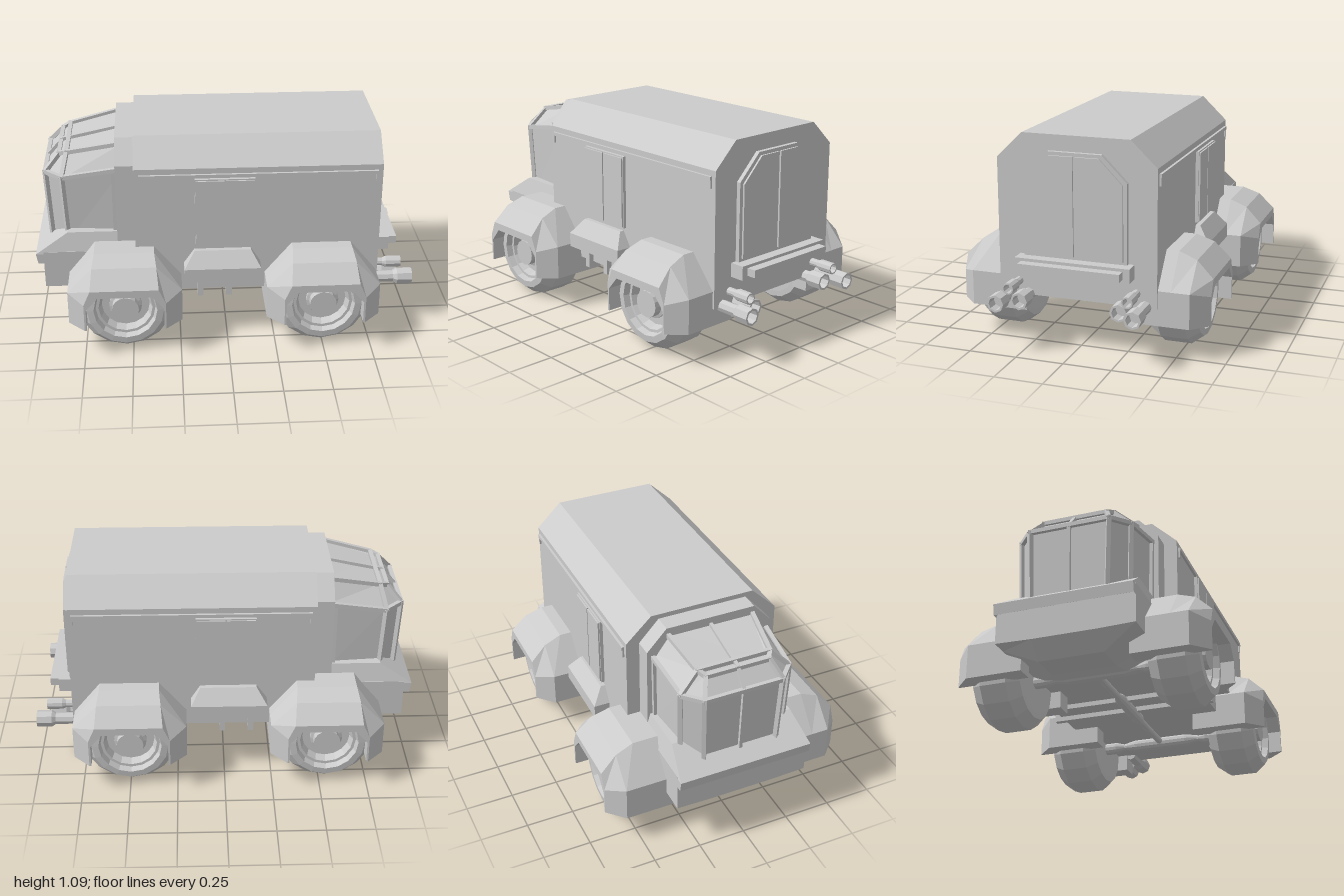
import * as THREE from 'three';

const mat = new THREE.MeshStandardMaterial({ color: 0xcccccc, flatShading: true });

// Solid through a list of equal-sized loops of [x,y,z], capped at both ends
function loft(loops) {
  const tris = [], n = loops[0].length;
  for (let i = 0; i < loops.length - 1; i++) {
    for (let j = 0; j < n; j++) {
      const k = (j + 1) % n;
      const a = loops[i][j], b = loops[i][k], c = loops[i + 1][k], d = loops[i + 1][j];
      tris.push([a, b, c], [a, c, d]);
    }
  }
  const end = loops[loops.length - 1];
  for (let j = 1; j < n - 1; j++) {
    tris.push([loops[0][0], loops[0][j + 1], loops[0][j]], [end[0], end[j], end[j + 1]]);
  }
  // Signed volume decides the winding, so faces always point outward
  const v = (p) => new THREE.Vector3(...p);
  const volume = tris.reduce((s, [a, b, c]) => s + v(a).dot(v(b).cross(v(c))), 0);
  if (volume < 0) tris.forEach((t) => t.reverse());
  const g = new THREE.BufferGeometry();
  g.setAttribute('position', new THREE.Float32BufferAttribute(tris.flat(2), 3));
  g.computeVertexNormals();
  return g;
}

// Half outline of [z,y] mirrored to a closed loop at a given x
const mirrorLoop = (half, x) => [
  ...half.map(([z, y]) => [x, y, z]),
  ...half.slice().reverse().map(([z, y]) => [x, y, -z]),
];
const prismX = (half, x0, x1) => loft([mirrorLoop(half, x0), mirrorLoop(half, x1)]);

export function createModel() {
  const root = new THREE.Group();
  const add = (name, geo, x = 0, y = 0, z = 0, parent = root) => {
    const m = new THREE.Mesh(geo, mat);
    m.name = name;
    m.position.set(x, y, z);
    parent.add(m);
    return m;
  };
  // Box given by its extents
  const box = (name, x0, x1, y0, y1, z0, z1) =>
    add(name, new THREE.BoxGeometry(x1 - x0, y1 - y0, z1 - z0), (x0 + x1) / 2, (y0 + y1) / 2, (z0 + z1) / 2);
  // Square bar between two points
  const beam = (name, a, b, t) => {
    const p = new THREE.Vector3(...a), q = new THREE.Vector3(...b);
    const m = add(name, new THREE.BoxGeometry(t, t, p.distanceTo(q) + t * 0.6));
    m.position.copy(p).add(q).multiplyScalar(0.5);
    m.lookAt(q);
    return m;
  };
  // Turned part along z (or x) from [radius, distance] points
  const turned = (pts, sides, alongX) => {
    const g = new THREE.LatheGeometry(pts.map((p) => new THREE.Vector2(...p)), sides);
    return alongX ? g.rotateZ(-Math.PI / 2) : g.rotateX(Math.PI / 2);
  };

  // Cargo body and the collar joining it to the cab
  add('cargoBody', prismX([[0.415, 0.26], [0.415, 0.96], [0.28, 1.09]], -0.475, 0.8));
  add('cabCollar', prismX([[0.345, 0.4], [0.345, 0.95], [0.24, 1.065]], -0.57, -0.47));

  // Nose hull and flared skirt below the cab
  const hull = (bottom, x) => mirrorLoop([[0.36, 0.47], [0.36, 0.265], [0.17, bottom]], x);
  add('noseHull', loft([hull(0.26, -0.96), hull(0.18, -0.87), hull(0.18, -0.7), hull(0.24, -0.45)]));
  const skirt = (x, y, z) => [[x, y, z], [x, y, -z], [-0.47, y, -z], [-0.47, y, z]];
  add('noseSkirt', loft([skirt(-0.84, 0.49, 0.33), skirt(-0.99, 0.405, 0.36), skirt(-1, 0.46, 0.36), skirt(-0.83, 0.57, 0.33)]));

  // Cab shell: three levels, each running front, corner, rear
  const levels = [
    [[-0.92, 0.51, 0.2], [-0.83, 0.51, 0.285], [-0.54, 0.51, 0.31]],
    [[-0.935, 0.87, 0.21], [-0.845, 0.87, 0.295], [-0.54, 0.92, 0.315]],
    [[-0.86, 0.955, 0.17], [-0.82, 0.97, 0.195], [-0.54, 1.03, 0.235]],
  ];
  const flip = ([x, y, z]) => [x, y, -z];
  add('cabGlass', loft(levels.map((l) => [...l, ...l.slice().reverse().map(flip)].map(([x, y, z]) => [x + 0.008, y - 0.004, z * 0.98]))));

  // Window frame bars on the cab edges
  for (const f of [(p) => p, flip]) {
    levels.forEach((l, i) => {
      if (i) {
        beam('cabFrame', f(l[0]), f(l[1]), 0.022);
        beam('cabFrame', f(l[1]), f(l[2]), 0.022);
      }
      if (i < 2) [0, 1].forEach((j) => beam('cabPillar', f(l[j]), f(levels[i + 1][j]), 0.022));
    });
    beam('cabRearPillar', f([-0.58, 0.57, 0.308]), f([-0.58, 0.913, 0.312]), 0.02);
    beam('cabRoofBar', f([-0.82, 0.97, 0.195]), f([-0.82, 0.97, 0]), 0.022);
  }
  for (const l of levels.slice(1)) beam('windscreenRail', l[0], flip(l[0]), 0.022);
  beam('windscreenPillar', [-0.92, 0.51, 0], [-0.935, 0.87, 0], 0.018);
  beam('windscreenPillar', [-0.935, 0.87, 0], [-0.86, 0.955, 0], 0.018);
  beam('cabRoofBar', [-0.86, 0.96, 0], [-0.54, 1.03, 0], 0.018);

  for (const s of [1, -1]) {
    const sideBox = (name, x0, x1, y0, y1, z0, z1) =>
      box(name, x0, x1, y0, y1, Math.min(s * z0, s * z1), Math.max(s * z0, s * z1));

    // Side rail under the roof edge
    sideBox('sideRail', -0.45, 0.775, 0.912, 0.93, 0.41, 0.428);
    for (const x of [-0.45, 0.765]) sideBox('sideRailEnd', x, x + 0.01, 0.87, 0.92, 0.41, 0.425);

    // Double side door
    sideBox('sideDoorFrame', -0.165, 0.145, 0.52, 0.905, 0.4, 0.432);
    for (const x of [-0.16, -0.006]) sideBox('sideDoorLeaf', x, x + 0.146, 0.527, 0.898, 0.42, 0.44);

    // Tapered side step
    const step = (x0, x1, y, z) => [[x0, y, s * 0.4], [x1, y, s * 0.4], [x1, y, s * z], [x0, y, s * z]];
    add('sideStep', loft([step(-0.225, 0.175, 0.345, 0.5), step(-0.225, 0.175, 0.42, 0.5), step(-0.17, 0.125, 0.5, 0.44)]));

    // Hangers below the step
    for (const x of [-0.14, 0.01]) {
      sideBox('stepHanger', x - 0.015, x + 0.015, 0.24, 0.35, 0.42, 0.45);
      sideBox('crossBar', x - 0.015, x + 0.015, 0.235, 0.265, 0, 0.45);
    }

    // Cluster of three exhaust pipes
    for (const [z, y, r, tip, sides] of [[0.355, 0.265, 0.045, 1, 8], [0.26, 0.265, 0.045, 0.93, 8], [0.31, 0.33, 0.03, 0.945, 10]]) {
      const neck = tip - 0.1;
      const pipe = turned([[0, 0.7], [r * 0.7, 0.7], [r * 0.7, neck], [r, neck + 0.02], [r, tip], [r * 0.75, tip], [r * 0.75, tip - 0.06], [0, tip - 0.06]], sides, true);
      add('exhaustPipe', pipe, 0, y, s * z);
    }
  }

  // Rear door, step and bumper bar
  const arch = (w, y0, y1, c) => [[w, y0], [w, y1 - c], [w - c, y1]];
  add('rearDoorFrame', prismX(arch(0.27, 0.475, 1.01, 0.13), 0.79, 0.822));
  for (const s of [1, -1]) {
    const leaf = [[0.006, 0.49], [0.25, 0.49], [0.25, 0.87], [0.13, 0.992], [0.006, 0.992]];
    add('rearDoorLeaf', loft([0.8, 0.832].map((x) => leaf.map(([z, y]) => [x, y, s * z]))));
  }
  box('rearStep', 0.79, 0.878, 0.402, 0.475, -0.3, 0.3);
  box('rearBumperBar', 0.87, 0.926, 0.42, 0.46, -0.265, 0.265);

  // Fender arch stations: [x, y] on the wall, the shoulder edge, the outer face and the lining
  const stations = [
    [[0.295, 0.17], [0.295, 0.17], [0.21, 0.17], [0.2, 0.17]],
    [[0.295, 0.35], [0.295, 0.35], [0.21, 0.32], [0.2, 0.29]],
    [[0.155, 0.52], [0.165, 0.485], [0.175, 0.4], [0.14, 0.36]],
  ];
  const section = (st, m) => [[0, 0.28], [0, 0.48], [1, 0.575], [2, 0.66], [3, 0.66], [3, 0.28]]
    .map(([i, z]) => [m * st[i][0], st[i][1], z]);
  const fenderGeo = loft([...stations.map((st) => section(st, -1)), ...stations.slice().reverse().map((st) => section(st, 1))]);

  // Tyre with dished rim, and the hub
  const tyreGeo = turned([[0, -0.13], [0.17, -0.13], [0.2, -0.128], [0.245, -0.07], [0.245, 0.07], [0.2, 0.128],
    [0.165, 0.132], [0.155, 0.1], [0.14, 0.1], [0.125, 0.06], [0, 0.06]], 16);
  const hubGeo = turned([[0.085, 0.05], [0.085, 0.08], [0.07, 0.085], [0.07, 0.125], [0, 0.125]], 16);

  // Axles with a fender and wheel on each side
  const half = [[0, -0.4], [0.033, -0.4], [0.033, -0.27], [0.018, -0.22], [0.033, -0.15]];
  const axleGeo = turned([...half, ...half.slice().reverse().map(([r, z]) => [r, -z])], 12);
  for (const x of [-0.535, 0.495]) {
    add('axle', axleGeo, x, 0.233, 0);
    for (const turn of [0, Math.PI]) {
      const corner = new THREE.Group();
      corner.name = 'wheelCorner';
      corner.position.x = x;
      corner.rotation.y = turn;
      root.add(corner);
      add('fender', fenderGeo, 0, 0, 0, corner);
      add('tyre', tyreGeo, 0, 0.245, 0.463, corner);
      add('hub', hubGeo, 0, 0.245, 0.463, corner);
    }
  }

  // Drive shaft linking the axles
  add('driveShaft', turned([[0, -0.53], [0.018, -0.53], [0.018, -0.23], [0.03, -0.19], [0.03, 0.1], [0.018, 0.15], [0.018, 0.49], [0, 0.49]], 12, true), 0, 0.235, 0);

  return root;
}
